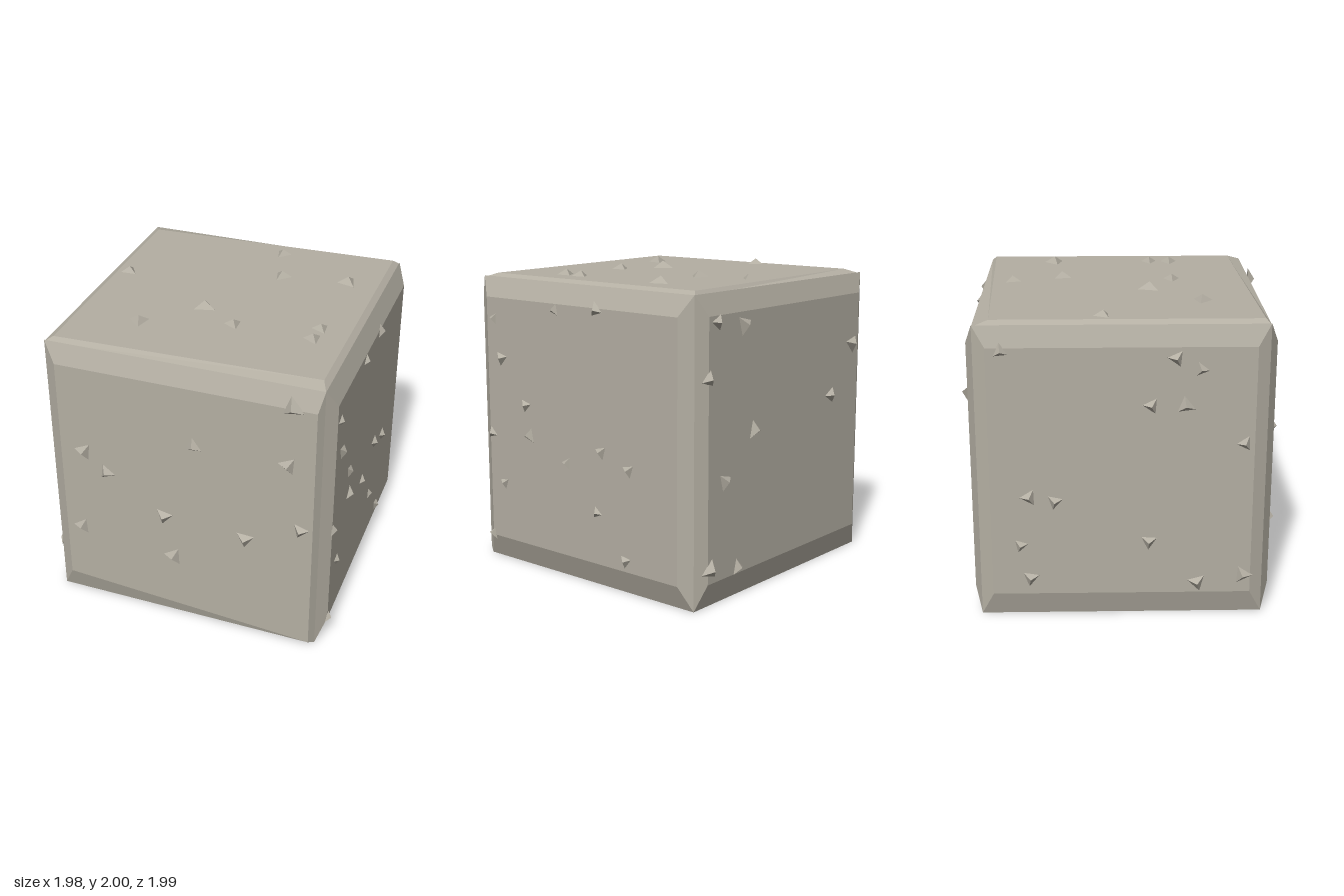
import * as THREE from 'three';

const stone = new THREE.MeshStandardMaterial({ color: 0xb4afa3, flatShading: true });
stone.name = 'weathered stone';

const HALF = 0.9; // half width of the core
const HEIGHT = 1.92; // height of the core

// Small seeded generator, for the turn and size of each chip
function seeded(seed) {
  let state = seed;
  return () => {
    state = (state * 16807) % 2147483647;
    return state / 2147483647;
  };
}

// Raised slab with sloping borders; the lower and upper edges can tilt on their right end
function slab(bottom, top, base, depth, { left, right, low, high, tiltLow = 0, tiltHigh = 0 }) {
  const ring = (l, r, y0, y0r, y1r, y1, z) => [[l, y0, z], [r, y0r, z], [r, y1r, z], [l, y1, z]];
  const points = [
    ...ring(-HALF, HALF, bottom, bottom, top, top, base),
    ...ring(left, right, low, low + tiltLow, high + tiltHigh, high, depth),
  ];
  const index = [4, 5, 6, 4, 6, 7];
  for (let i = 0; i < 4; i++) {
    const j = (i + 1) % 4;
    index.push(i, j, j + 4, i, j + 4, i + 4);
  }
  const indexed = new THREE.BufferGeometry();
  indexed.setAttribute('position', new THREE.Float32BufferAttribute(points.flat(), 3));
  indexed.setIndex(index);
  const geometry = indexed.toNonIndexed();
  geometry.computeVertexNormals();
  return geometry;
}

// Three-sided stone chip pointing outward, one corner turned near a quarter direction
function chip(u, v, depth, size, random) {
  const radius = size * (0.85 + 0.3 * random());
  const height = radius * 0.62;
  const geometry = new THREE.ConeGeometry(radius, height, 3);
  geometry.rotateX(Math.PI / 2);
  geometry.rotateZ(Math.floor(random() * 4) * Math.PI / 2 + (random() - 0.5) * 0.6);
  const mesh = new THREE.Mesh(geometry, stone);
  mesh.position.set(u, v, depth + height / 2 - 0.003);
  mesh.name = 'stoneChip';
  return mesh;
}

// One side of the block: a slab and its chips, laid out facing +z and then turned
function side(name, turnX, turnY, depth, edges, size, spots) {
  const group = new THREE.Group();
  group.name = `${name}Side`;
  group.rotation.set(turnX, turnY, 0);
  const isTop = turnX !== 0;
  const panel = new THREE.Mesh(
    slab(isTop ? -HALF : 0, isTop ? HALF : HEIGHT + 0.01, isTop ? HEIGHT : HALF, depth, edges), stone);
  panel.name = `${name}Slab`;
  group.add(panel);
  const random = seeded(4271 + name.length * 97);
  for (const [u, v] of spots) group.add(chip(u, v, depth, size, random));
  return group;
}

export function createModel() {
  const model = new THREE.Group();
  model.name = 'stoneBlock';

  // Solid block inside the slabs, which also forms the flat underside
  const core = new THREE.Mesh(new THREE.BoxGeometry(2 * HALF, HEIGHT, 2 * HALF), stone);
  core.position.y = HEIGHT / 2;
  core.name = 'core';
  model.add(core);

  // Upright sides share the same worn borders; the front has a skewed lower edge
  const worn = { left: -0.82, right: 0.82, low: 0.16, high: 1.8 };

  model.add(side('front', 0, 0, 0.95, { ...worn, right: 0.87, tiltLow: -0.13 }, 0.075,
    [[0.09, 1.4], [0.7, 1.4], [0.72, 1.81], [-0.66, 1.19], [-0.51, 1.06],
      [-0.71, 0.58], [-0.06, 0.5], [-0.12, 0.81], [0.43, 0.77], [0.79, 0.93]]));

  model.add(side('left', 0, Math.PI / 2, 0.96, worn, 0.053,
    [[-0.76, 1.66], [-0.69, 1.4], [-0.19, 1.76], [0.17, 1.79], [-0.47, 1.11], [-0.44, 0.91], [-0.8, 0.88],
      [0.2, 0.9], [-0.1, 0.78], [0.43, 0.82], [-0.69, 0.55], [0.16, 0.5], [0.4, 0.23], [-0.82, 0.17]]));

  model.add(side('back', 0, Math.PI, 0.945, worn, 0.068,
    [[-0.74, 1.76], [-0.48, 1.72], [-0.82, 1.43], [-0.36, 1.05], [-0.66, 0.78],
      [-0.8, 0.25], [-0.52, 0.2], [0.74, 1.46], [0.49, 1.14]]));

  model.add(side('right', 0, -Math.PI / 2, 0.945, worn, 0.064,
    [[-0.73, 1.78], [0.18, 1.43], [0.39, 1.43], [0.33, 1.73], [0.48, 1.66], [0.76, 1.18],
      [-0.58, 0.83], [-0.42, 0.8], [0.17, 0.52], [-0.64, 0.5], [-0.58, 0.27], [0.48, 0.23], [0.77, 0.28]]));

  const skewed = { left: -0.85, right: 0.86, low: -0.87, high: 0.8, tiltLow: 0.06, tiltHigh: 0.07 };
  model.add(side('top', -Math.PI / 2, 0, 1.95, skewed, 0.075,
    [[0.12, 0.71], [0.22, 0.38], [0.66, 0.44], [-0.77, 0.11], [-0.11, -0.2],
      [-0.43, -0.52], [0.14, -0.36], [0.67, -0.23], [0.66, -0.37]]));

  return model;
}
